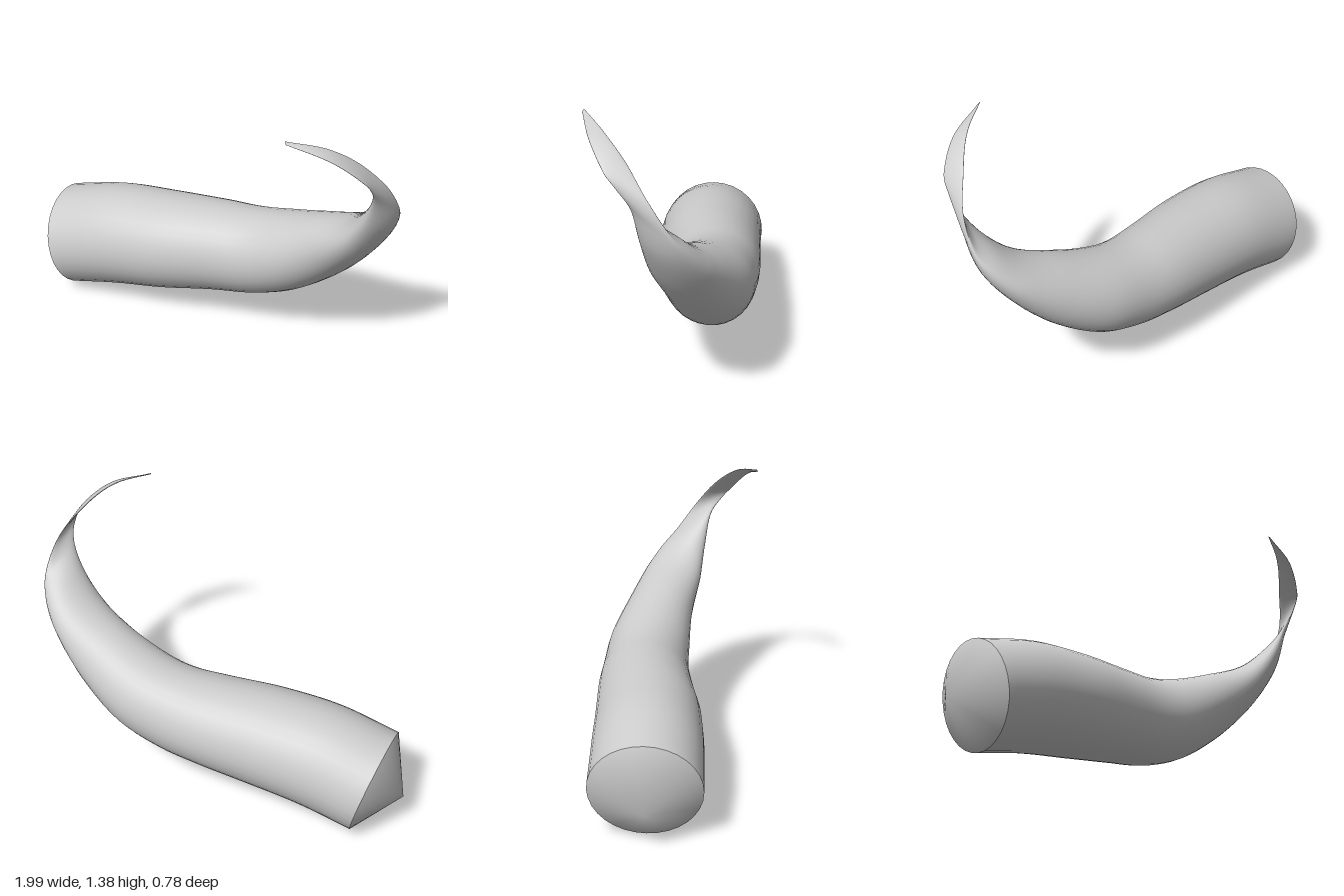
import * as THREE from 'three';

// Cross-sections from butt to tip: centre, upward half-axis, frontward half-axis
const SECTIONS = [
  [-0.845, 0.265, -0.10, -0.065, 0.255, 0, 0, 0, 0.27],
  [-0.565, 0.335, -0.108, -0.035, 0.265, 0, 0, 0, 0.268],
  [-0.28, 0.37, -0.125, -0.02, 0.255, 0, 0, 0, 0.26],
  [0, 0.40, -0.158, -0.01, 0.236, 0, 0, 0, 0.238],
  [0.2, 0.423, -0.17, -0.03, 0.222, 0, 0, 0, 0.22],
  [0.395, 0.483, -0.165, -0.055, 0.198, 0, -0.02, 0, 0.21],
  [0.62, 0.605, -0.125, -0.06, 0.15, 0, -0.04, 0, 0.175],
  [0.80, 0.74, -0.065, -0.045, 0.09, -0.02, -0.05, 0.01, 0.15],
  [0.91, 0.88, -0.01, -0.035, 0.04, -0.03, -0.045, 0.035, 0.115],
  [0.957, 1.0, 0.045, -0.015, 0.008, -0.01, -0.033, 0.05, 0.09],
  [0.95, 1.125, 0.13, -0.006, 0.003, -0.003, -0.012, 0.02, 0.07],
  [0.88, 1.24, 0.22, -0.005, -0.005, -0.001, 0.025, -0.02, 0.042],
  [0.77, 1.33, 0.305, -0.003, -0.005, -0.001, 0.02, -0.015, 0.028],
  [0.6, 1.383, 0.383, -0.001, -0.002, 0, 0.004, -0.006, 0.004],
];
const SIDES = 32;
const STEPS = 65;

const curveOf = (k) => new THREE.CatmullRomCurve3(
  SECTIONS.map((s) => new THREE.Vector3(s[k], s[k + 1], s[k + 2])));
const centre = curveOf(0), upAxis = curveOf(3), frontAxis = curveOf(6);

// Point on the skin at t along the body and angle a around it
function skinPoint(t, a) {
  return centre.getPoint(t)
    .addScaledVector(upAxis.getPoint(t), Math.cos(a))
    .addScaledVector(frontAxis.getPoint(t), Math.sin(a));
}

function makeGeometry(points, index) {
  const g = new THREE.BufferGeometry().setFromPoints(points);
  g.setIndex(index);
  g.computeVertexNormals();
  return g;
}

export function createModel() {
  const group = new THREE.Group();
  group.name = 'curvedTail';
  const grey = new THREE.MeshStandardMaterial({ color: 0xcccccc, side: THREE.DoubleSide });
  grey.name = 'light grey';

  // Body sweeping up into a thin curled ribbon
  const points = [], index = [];
  for (let i = 0; i <= STEPS; i++) {
    for (let j = 0; j < SIDES; j++) points.push(skinPoint(i / STEPS, (j / SIDES) * Math.PI * 2));
  }
  for (let i = 0; i < STEPS; i++) {
    for (let j = 0; j < SIDES; j++) {
      const k = (j + 1) % SIDES;
      const a = i * SIDES + j, b = i * SIDES + k;
      index.push(a, b, a + SIDES, b, b + SIDES, a + SIDES);
    }
  }
  const body = new THREE.Mesh(makeGeometry(points, index), grey);
  body.name = 'body';
  group.add(body);

  // Pointed cap closing the butt end
  const rim = [], fan = [];
  for (let j = 0; j < SIDES; j++) {
    rim.push(skinPoint(0, (j / SIDES) * Math.PI * 2));
    fan.push(SIDES, (j + 1) % SIDES, j);
  }
  rim.push(new THREE.Vector3(-1, 0.22, -0.1));
  const cap = new THREE.Mesh(makeGeometry(rim, fan), grey);
  cap.name = 'buttCap';
  group.add(cap);

  return group;
}
